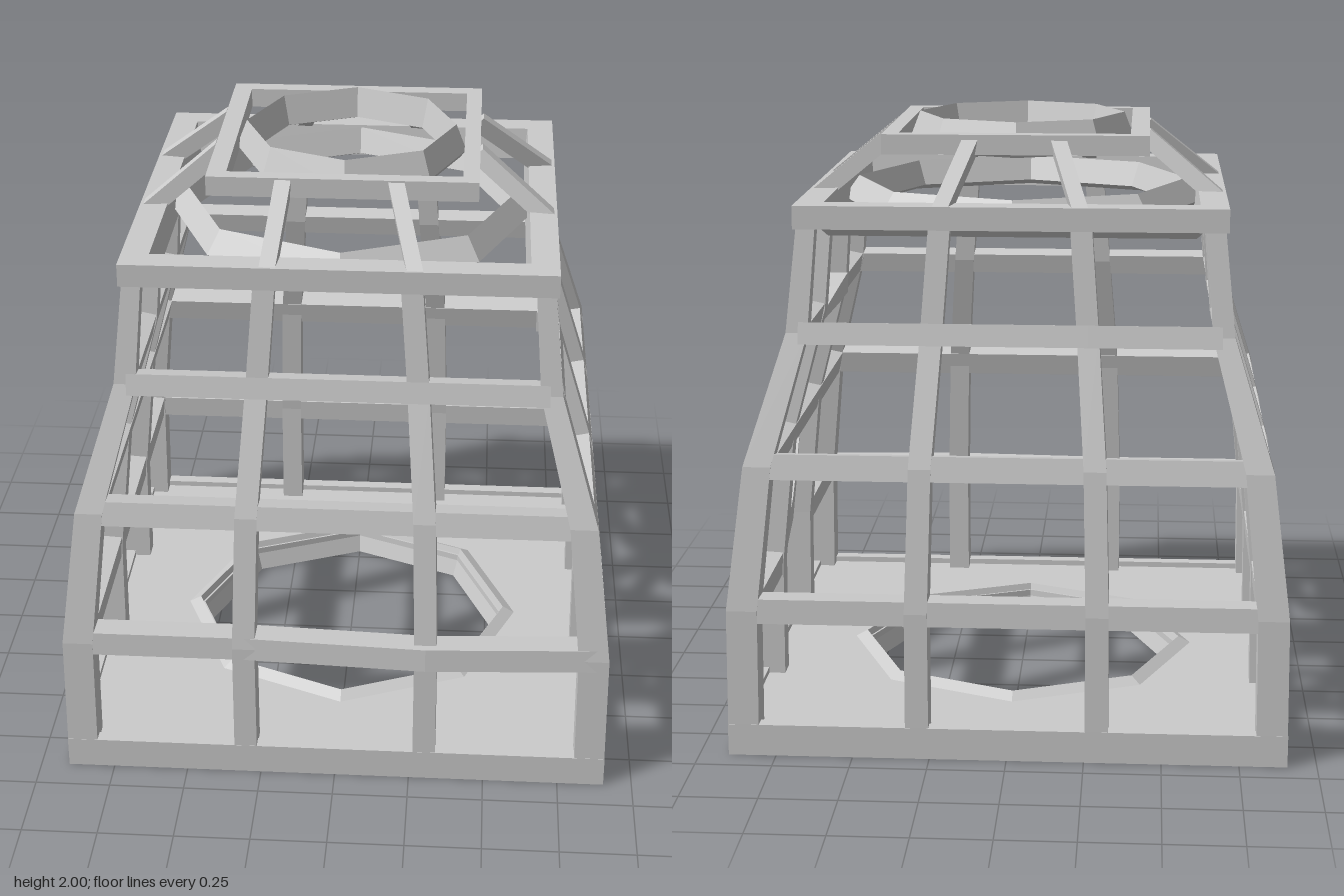
import * as THREE from 'three';

const mat = new THREE.MeshStandardMaterial({ color: 0xcccccc, flatShading: true });
const Z0 = -0.012; // the cage sits slightly behind the bulge of its front bar

// Half-width, member thickness and post spacing at each height
const LEVELS = [0, 0.49, 0.955, 1.365, 1.72];
const HALF = [0.905, 0.9, 0.843, 0.715, 0.678];
const THICK = [0.1, 0.1, 0.09, 0.07, 0.06];
const SPACING = [1, 1, 0.96, 0.86, 0.77];
function sample(table, y) {
  let i = 0;
  while (i < LEVELS.length - 2 && y > LEVELS[i + 1]) i++;
  const t = (y - LEVELS[i]) / (LEVELS[i + 1] - LEVELS[i]);
  return table[i] + (table[i + 1] - table[i]) * t;
}

// Point on one of four sides: u runs along the side, d points outward
function onSide(side, u, y, d) {
  const [x, z] = [[u, d], [d, -u], [-u, -d], [-d, u]][side];
  return [x, y, z + Z0];
}

// Closed solid through a row of four-cornered sections
function loft(sections) {
  const v = sections.map(s => s.map(p => new THREE.Vector3(...p)));
  const mid = s => s.reduce((a, p) => a.add(p), new THREE.Vector3()).divideScalar(4);
  const n = v[0][2].clone().sub(v[0][0]).cross(v[0][3].clone().sub(v[0][1]));
  if (n.dot(mid(v[1]).sub(mid(v[0]))) < 0) v.forEach(s => s.reverse());
  const pos = [];
  const quad = (a, b, c, d) => [a, b, c, a, c, d].forEach(p => pos.push(p.x, p.y, p.z));
  for (let i = 0; i < v.length - 1; i++) {
    for (let j = 0; j < 4; j++) {
      const k = (j + 1) % 4;
      quad(v[i][j], v[i][k], v[i + 1][k], v[i + 1][j]);
    }
  }
  const first = v[0], last = v[v.length - 1];
  quad(first[3], first[2], first[1], first[0]);
  quad(last[0], last[1], last[2], last[3]);
  const g = new THREE.BufferGeometry();
  g.setAttribute('position', new THREE.Float32BufferAttribute(pos, 3));
  g.computeVertexNormals();
  return g;
}

// Closed profile carried round an octagon, or round a square of given half-width
function octagonRing(profile) {
  const pts = [...profile, profile[0]].map(p => new THREE.Vector2(...p));
  return new THREE.LatheGeometry(pts, 8);
}
function squareRing(profile) {
  const pts = [...profile, profile[0]].map(([r, y]) => new THREE.Vector2(r * Math.SQRT2, y));
  return new THREE.LatheGeometry(pts, 4).rotateY(Math.PI / 4);
}

function rectangle(Type, x0, x1, z0, z1) {
  return new Type([[x0, -z1], [x1, -z1], [x1, -z0], [x0, -z0]].map(p => new THREE.Vector2(...p)));
}

function slab(shape, hole, y0, y1) {
  shape.holes.push(hole);
  const g = new THREE.ExtrudeGeometry(shape, { depth: y1 - y0, bevelEnabled: false });
  return g.rotateX(-Math.PI / 2).translate(0, y0, 0);
}

export function createModel() {
  const model = new THREE.Group();
  const add = (name, geometry, z = 0) => {
    const m = new THREE.Mesh(geometry, mat);
    m.name = name;
    m.position.z = z;
    model.add(m);
  };

  // Floor with a border and a raised octagonal rim round its opening
  const opening = new THREE.Path();
  for (let i = 0; i < 8; i++) {
    const a = (i * Math.PI) / 4, x = 0.55 * Math.cos(a), y = 0.55 * Math.sin(a);
    if (i) opening.lineTo(x, y); else opening.moveTo(x, y);
  }
  opening.closePath();
  add('floor', slab(rectangle(THREE.Shape, -0.87, 0.87, -0.87, 0.87), opening, 0, 0.085), Z0);
  add('floorBorder', squareRing([[0.86, 0], [0.905, 0], [0.905, 0.105], [0.86, 0.105]]), Z0);
  add('floorRim', octagonRing([[0.53, 0], [0.56, 0], [0.61, 0.083], [0.565, 0.108]]), Z0);

  // Shoulder frame with a lower lip, and the octagonal ring inside it
  add('shoulderFrame', squareRing(
    [[0.59, 1.66], [0.62, 1.695], [0.69, 1.695], [0.69, 1.77], [0.6, 1.77]]), Z0);
  add('shoulderRing', octagonRing(
    [[0.53, 1.69], [0.58, 1.67], [0.62, 1.7], [0.565, 1.775]]), Z0);

  // Offsets of the two middle posts on front, right, back and left sides
  const offsets = [[-0.3, 0.3], [-0.24, 0.35], [-0.29, 0.29], [-0.35, 0.24]];

  for (let side = 0; side < 4; side++) {
    // Corner posts
    add('cornerPost', loft(LEVELS.map(y => {
      const o = sample(HALF, y), i = o - sample(THICK, y);
      return [[i, o], [o, o], [o, i], [i, i]].map(([u, d]) => onSide(side, u, y, d));
    })));

    // Middle posts
    for (const offset of offsets[side]) {
      add('middlePost', loft(LEVELS.map(y => {
        const o = sample(HALF, y), i = o - sample(THICK, y);
        const c = offset * sample(SPACING, y), w = 0.038 - y * 0.002;
        return [[c - w, o], [c + w, o], [c + w, i], [c - w, i]]
          .map(([u, d]) => onSide(side, u, y, d));
      })));
    }

    // Horizontal bars, in three lengths per side, tilted to the slope of the cage
    [[0.45, 0.53], [0.915, 0.995], [1.33, 1.4]].forEach(([y0, y1], level) => {
      const ym = (y0 + y1) / 2, edge = sample(HALF, ym) - 0.04;
      const a = sample(HALF, y0), b = sample(HALF, y1), t = sample(THICK, ym) * 0.95;
      const drop = (t * (a - b)) / (y1 - y0);
      const stops = [-edge, ...offsets[side].map(u => u * sample(SPACING, ym)), edge];
      const section = i => {
        const bulge = side === 0 && level === 0 && i === 2 ? 0.03 : 0;
        return [[y0 - drop, a - t], [y1 - drop, b - t], [y1, b], [y0, a]]
          .map(([y, d]) => onSide(side, stops[i], y, d + bulge));
      };
      for (let s = 0; s < 3; s++) {
        // Two middle bars on the right side are snapped
        if (side === 1 && s === 1 && level !== 1) continue;
        add('crossBar', loft([section(s), section(s + 1)]));
      }
    });
  }

  // Bent, pointed remains of the snapped bars: u, y, depth, half size
  const spikes = [
    [[0.345, 0.49, 0.85, 0.04], [0.1, 0.595, 0.845, 0.034], [0, 0.69, 0.835, 0.022], [-0.1, 0.8, 0.82, 0.004]],
    [[-0.17, 1.365, 0.672, 0.035], [-0.05, 1.345, 0.68, 0.03], [0.2, 1.258, 0.715, 0.003]],
  ];
  for (const path of spikes) {
    add('snappedBar', loft(path.map(([u, y, d, h]) =>
      [[-h, -h], [h, -h], [h, h], [-h, h]].map(([a, b]) => onSide(1, u, y + a, d + b)))));
  }

  // Slanted struts from shoulder to top frame: side, foot u, head u
  const struts = [
    [0, -0.22, -0.19], [0, 0.24, 0.17], [1, -0.17, -0.1], [1, 0.27, 0.19],
    [2, -0.22, -0.14], [2, 0.22, 0.14], [3, -0.28, -0.2], [3, 0.17, 0.11],
  ];
  for (const [side, foot, head] of struts) {
    const w = 0.026;
    add('strut', loft([[foot, 1.75, 0.66], [head, 1.945, 0.42]].map(([u, y, d]) =>
      [[-w, -0.02, -0.02], [w, -0.02, -0.02], [w, 0.02, 0.02], [-w, 0.02, 0.02]]
        .map(([a, b, c]) => onSide(side, u + a, y + b, d + c)))));
  }

  // Square top frame with its octagonal ring
  add('topFrame', slab(rectangle(THREE.Shape, -0.437, 0.432, -0.467, 0.425),
    rectangle(THREE.Path, -0.375, 0.38, -0.41, 0.375), 1.905, 1.97));
  add('topRing', octagonRing([[0.325, 1.9], [0.365, 1.885], [0.385, 1.91], [0.35, 2]]), -0.018);

  return model;
}
